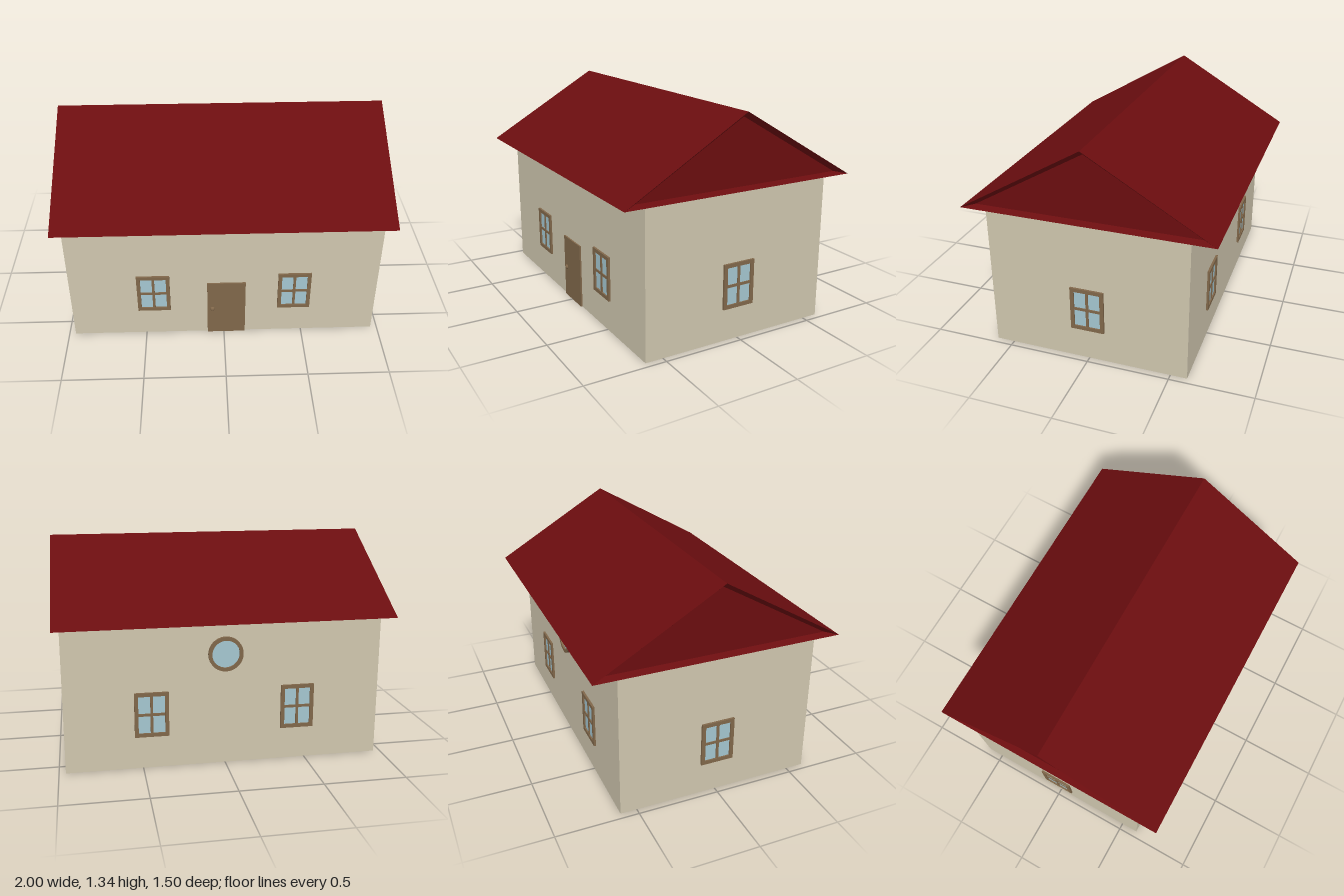
import * as THREE from 'three';

export function createModel() {
  const mat = (name, color) => {
    const m = new THREE.MeshStandardMaterial({ color });
    m.name = name;
    return m;
  };
  const cream = mat('cream wall', 0xcfc6ae);
  const red = mat('roof red', 0x6b0d0f);
  const wood = mat('brown wood', 0x80674a);
  const glass = mat('pale blue glass', 0xa4c6d0);

  const house = new THREE.Group();
  house.name = 'house';

  const add = (parent, name, geometry, material, x = 0, y = 0, z = 0) => {
    const mesh = new THREE.Mesh(geometry, material);
    mesh.name = name;
    mesh.position.set(x, y, z);
    parent.add(mesh);
    return mesh;
  };
  const box = (w, h, d) => new THREE.BoxGeometry(w, h, d);

  // Walls
  const wallX = 0.96, front = 0.61, back = -0.6, eaves = 0.9;
  add(house, 'walls', box(wallX * 2, eaves, front - back), cream, 0, eaves / 2, (front + back) / 2);

  // Roof: triangular sections along x, with bevelled recesses in the gable ends
  const section = (x, halfDepth, bottom, top) => [
    [x, bottom, halfDepth], [x, top, 0], [x, bottom, -halfDepth],
  ];
  const loops = [
    section(-0.96, 0.67, 0.917, 1.308),
    section(-1, 0.75, eaves, 1.34),
    section(1, 0.75, eaves, 1.34),
    section(0.96, 0.67, 0.917, 1.308),
  ];
  const points = [];
  for (let i = 0; i < loops.length - 1; i++) {
    const p = loops[i], q = loops[i + 1];
    for (let a = 0; a < 3; a++) {
      const b = (a + 1) % 3;
      points.push(...p[a], ...q[a], ...q[b], ...p[a], ...q[b], ...p[b]);
    }
  }
  const [first, last] = [loops[0], loops[3]];
  points.push(...first[0], ...first[1], ...first[2], ...last[0], ...last[2], ...last[1]);
  const roof = new THREE.BufferGeometry();
  roof.setAttribute('position', new THREE.Float32BufferAttribute(points, 3));
  roof.computeVertexNormals();
  add(house, 'roof', roof, red);

  // Square window: frame, glass and cross bars, facing its local +z
  const W = 0.205, H = 0.275, rim = 0.023, bar = 0.016, depth = 0.013;
  const addWindow = (name, x, z, turn) => {
    const g = new THREE.Group();
    g.name = name;
    g.position.set(x, 0.338, z);
    g.rotation.y = turn;
    for (const s of [-1, 1]) {
      add(g, 'frameSide', box(rim, H, depth), wood, s * (W - rim) / 2, 0, depth / 2);
      add(g, 'frameRail', box(W - 2 * rim, rim, depth), wood, 0, s * (H - rim) / 2, depth / 2);
    }
    add(g, 'uprightBar', box(bar, H - 2 * rim, 0.01), wood, 0, 0, 0.005);
    add(g, 'crossBar', box(W - 2 * rim, bar, 0.0098), wood, 0, 0, 0.0049);
    add(g, 'pane', box(W - 2 * rim, H - 2 * rim, 0.004), glass, 0, 0, 0.002);
    house.add(g);
  };
  for (const s of [-1, 1]) {
    const side = s > 0 ? 'left' : 'right';
    addWindow(side + 'FrontWindow', s * 0.44, front, 0);
    addWindow(side + 'BackWindow', s * 0.445, back, Math.PI);
    addWindow(side + 'SideWindow', s * wallX, 0.004, s * Math.PI / 2);
  }

  // Round window high on the back wall
  const round = new THREE.Group();
  round.name = 'roundWindow';
  round.position.set(0, 0.69, back);
  round.rotation.y = Math.PI;
  const ring = new THREE.Shape().absarc(0, 0, 0.105, 0, Math.PI * 2);
  ring.holes.push(new THREE.Path().absarc(0, 0, 0.083, 0, Math.PI * 2, true));
  const ringGeo = new THREE.ExtrudeGeometry(ring, { depth: 0.018, bevelEnabled: false, curveSegments: 32 });
  add(round, 'roundFrame', ringGeo, wood);
  add(round, 'roundPane', new THREE.CircleGeometry(0.084, 32), glass, 0, 0, 0.006);
  house.add(round);

  // Front door with knob
  add(house, 'door', box(0.24, 0.41, 0.01), wood, 0.015, 0.205, front + 0.005);
  add(house, 'doorKnob', new THREE.SphereGeometry(0.016, 20, 14), wood, -0.073, 0.202, front + 0.006);

  return house;
}
